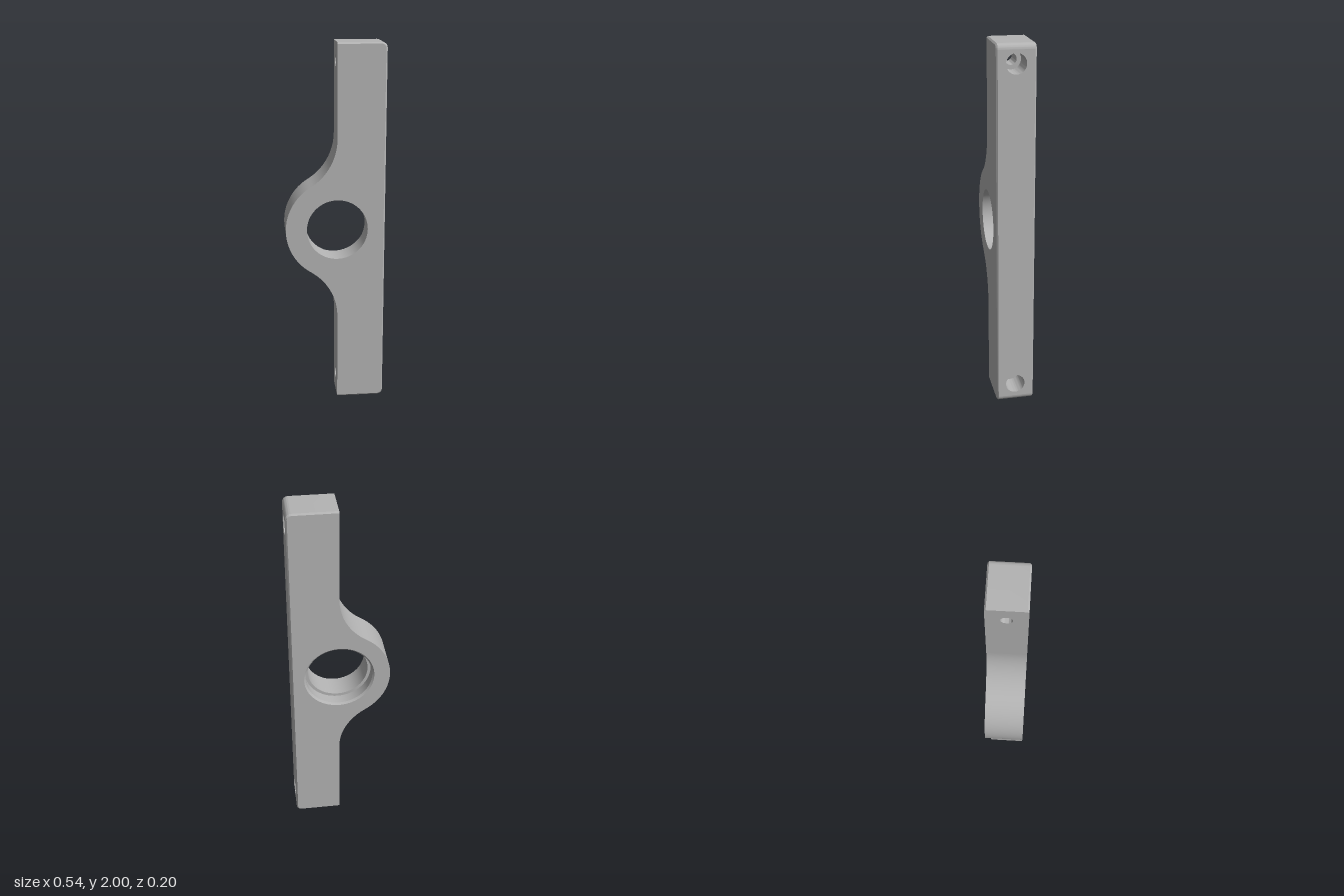
import * as THREE from 'three';
import { toCreasedNormals } from 'three/addons/utils/BufferGeometryUtils.js';

const X0 = 0.01, X1 = 0.27, H = 0.1025; // bar sides and half depth
const C = 0.008, CORNER = 0.03;         // edge chamfer, corner radius
const BOSS = 0.28, FILLET = 0.306, FILLET_Y = 0.5;
const BORE = 0.166, SEAT = 0.183, SEAT_RIM = 0.193;
const SCREW = 0.03, HEAD = 0.053, SCREW_Y = [0.105, 1.9];
const SEGS = 64;

const arc = (cx, cy, r, from, to, n) => Array.from({ length: n + 1 }, (_, i) => {
  const a = from + (to - from) * i / n;
  return new THREE.Vector2(cx + r * Math.cos(a), cy + r * Math.sin(a));
});

// Bar and boss outline; the bar's outer edges move in by the given inset
function outline(inset) {
  const r = CORNER - inset, cx = X1 - CORNER;
  const a = Math.atan2(FILLET_Y, FILLET);
  const left = [
    ...arc(X0 - FILLET, 1 + FILLET_Y, FILLET, 0, -a, 20),
    ...arc(X0, 1, BOSS, Math.PI - a, Math.PI + a, 40).slice(1),
    ...arc(X0 - FILLET, 1 - FILLET_Y, FILLET, a, 0, 20).slice(1),
  ];
  return [
    new THREE.Vector2(X0, inset),
    ...arc(cx, CORNER, r, -Math.PI / 2, 0, 10),
    ...arc(cx, 2 - CORNER, r, 0, Math.PI / 2, 10),
    new THREE.Vector2(X0, 2 - inset),
    ...left,
  ];
}

// Flat face with round holes given as [x, y, radius]
function face(points, holes, flip = false) {
  const shape = new THREE.Shape(points);
  for (const [x, y, r] of holes) {
    shape.holes.push(new THREE.Path(arc(x, y, r, 0, Math.PI * 2, SEGS).slice(0, -1)));
  }
  const geo = new THREE.ShapeGeometry(shape);
  if (flip) {
    geo.index.array.reverse();
    const n = geo.attributes.normal;
    for (let i = 0; i < n.count; i++) n.setXYZ(i, 0, 0, -1);
  }
  return geo;
}

// Perimeter walls with chamfers, leaving out the flat sides that carry holes
function walls() {
  const inner = outline(C), outer = outline(0);
  const rows = [[inner, -H], [outer, C - H], [outer, H - C], [inner, H]];
  const pos = [], n = outer.length;
  const rightSide = 11, upperLeft = 23, lowerLeft = n - 1;
  for (let k = 0; k < 3; k++) {
    const [p, z0] = rows[k], [q, z1] = rows[k + 1];
    for (let i = 0; i < n; i++) {
      if (i === upperLeft || i === lowerLeft || (i === rightSide && k === 1)) continue;
      const j = (i + 1) % n;
      const a = [p[i].x, p[i].y, z0], b = [p[j].x, p[j].y, z0];
      const c = [q[j].x, q[j].y, z1], d = [q[i].x, q[i].y, z1];
      pos.push(...a, ...b, ...c, ...a, ...c, ...d);
    }
  }
  const geo = new THREE.BufferGeometry();
  geo.setAttribute('position', new THREE.Float32BufferAttribute(pos, 3));
  return toCreasedNormals(geo, 0.5);
}

// Inside of a stepped hole: profile [radius, height] running downward
function hole(profile) {
  const geo = new THREE.LatheGeometry(profile.map(p => new THREE.Vector2(...p)), SEGS);
  return toCreasedNormals(geo.toNonIndexed(), 0.5);
}

export function createModel() {
  const group = new THREE.Group();
  const steel = new THREE.MeshStandardMaterial({ color: 0xb4b4b4 });
  steel.name = 'grey steel';
  const add = (name, geo) => {
    const mesh = new THREE.Mesh(geo, steel);
    mesh.name = name;
    group.add(mesh);
  };
  const V = (x, y) => new THREE.Vector2(x, y);

  // Body
  add('perimeterWalls', walls());
  add('frontFace', face(outline(C), [[X0, 1, BORE]]).translate(0, 0, H));
  add('backFace', face(outline(C), [[X0, 1, SEAT_RIM]], true).translate(0, 0, -H));

  // Outer side with the screw head recesses
  const w = H - C;
  const side = [V(-w, CORNER), V(w, CORNER), V(w, 2 - CORNER), V(-w, 2 - CORNER)];
  add('outerSide', face(side, SCREW_Y.map(y => [0, y, HEAD]))
    .rotateY(Math.PI / 2).translate(X1, 0, 0));

  // Inner sides above and below the boss
  const lower = [V(-H, C), V(-w, 0), V(w, 0), V(H, C), V(H, 1 - FILLET_Y), V(-H, 1 - FILLET_Y)];
  const upper = lower.map(p => V(p.x, 2 - p.y)).reverse();
  [['lowerInnerSide', lower, SCREW_Y[0]], ['upperInnerSide', upper, SCREW_Y[1]]]
    .forEach(([name, pts, y]) => add(name, face(pts, [[0, y, SCREW]])
      .rotateY(-Math.PI / 2).translate(X0, 0, 0)));

  // Main bore with a chamfered bearing seat at the back
  add('bearingBore', hole([
    [BORE, H], [BORE, 0.07 - H], [SEAT, 0.07 - H], [SEAT, 0.01 - H], [SEAT_RIM, -H],
  ]).rotateX(Math.PI / 2).translate(X0, 1, 0));

  // Counterbored screw holes
  for (const y of SCREW_Y) {
    add('screwHole', hole([
      [HEAD, X1], [HEAD, X1 - 0.14], [SCREW, X1 - 0.14], [SCREW, X0],
    ]).rotateZ(-Math.PI / 2).translate(0, y, 0));
  }
  return group;
}
